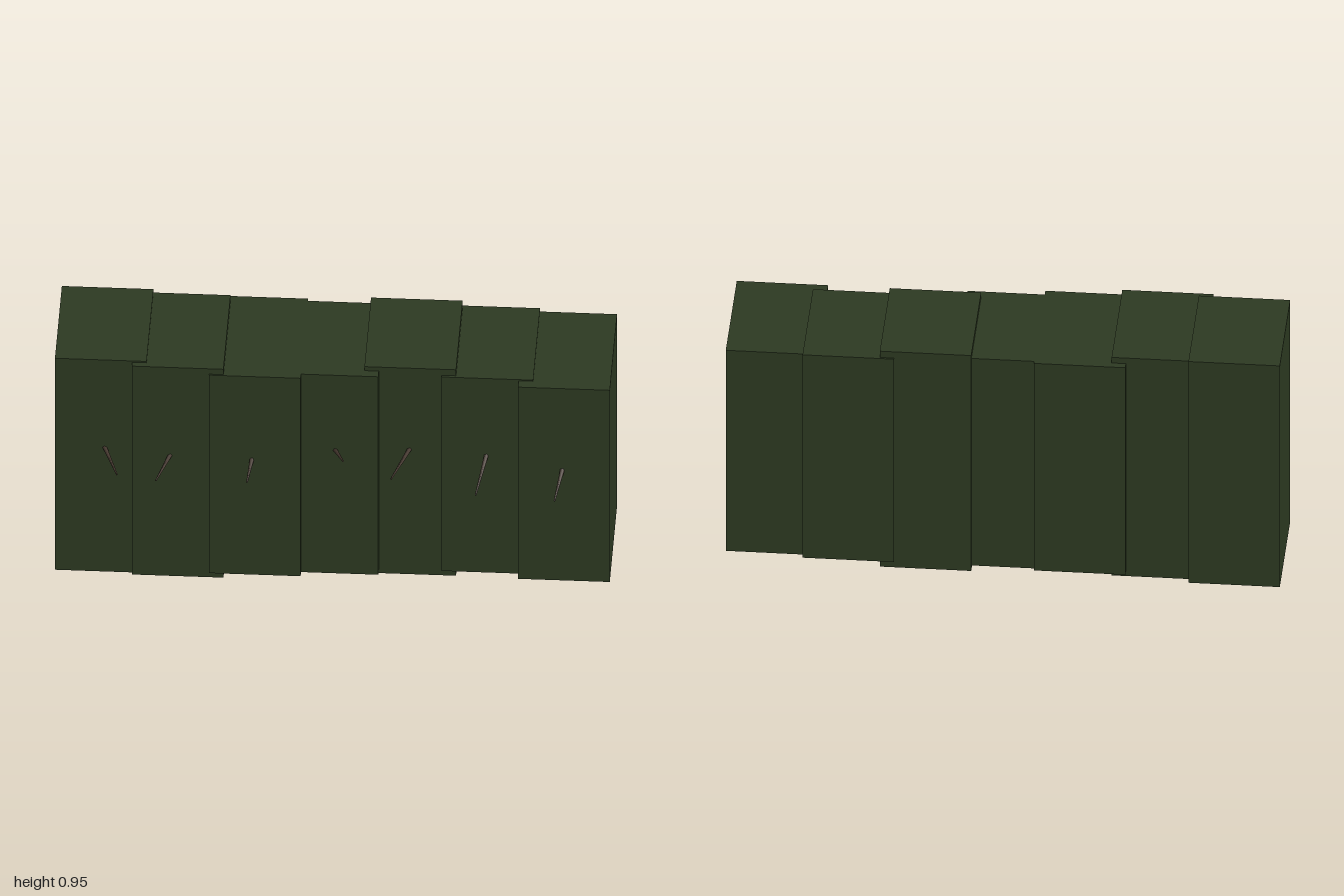
import * as THREE from 'three';

const leafGreen = new THREE.MeshStandardMaterial({ name: 'leafGreen', color: 0x2d3a22 });
const twigBrown = new THREE.MeshStandardMaterial({ name: 'twigBrown', color: 0x46382f });

// Overlapping clipped blocks: [yMin, yMax, zBack, zFront]
const blocks = [
  [0, 0.953, -0.266, 0.166],
  [0.008, 0.947, -0.254, 0.189],
  [0.031, 0.923, -0.281, 0.195],
  [0.031, 0.923, -0.268, 0.17],
  [0.013, 0.941, -0.277, 0.136],
  [0.04, 0.914, -0.284, 0.146],
  [0.045, 0.909, -0.271, 0.184],
];
const blockWidth = 0.33;
const spacing = (2 - blockWidth) / 6;

// Twigs: [x, y] where each leaves the hedge, then [x, y] of its tip
const twigs = [
  [-0.82, 0.557, -0.77, 0.526],
  [-0.585, 0.548, -0.63, 0.506],
  [-0.29, 0.548, -0.302, 0.512],
  [0.01, 0.585, 0.045, 0.622],
  [0.275, 0.574, 0.218, 0.55],
  [0.552, 0.565, 0.522, 0.49],
  [0.828, 0.54, 0.806, 0.476],
];
const tipZ = 0.283;

// Tapered stick running from a to b
function taperedStick(a, b, rA, rB) {
  const dir = b.clone().sub(a);
  const mesh = new THREE.Mesh(new THREE.CylinderGeometry(rB, rA, dir.length(), 5), twigBrown);
  mesh.position.copy(a).add(b).multiplyScalar(0.5);
  mesh.quaternion.setFromUnitVectors(new THREE.Vector3(0, 1, 0), dir.normalize());
  return mesh;
}

export function createModel() {
  const hedge = new THREE.Group();
  hedge.name = 'hedge';

  blocks.forEach(([y0, y1, z0, z1], i) => {
    const block = new THREE.Mesh(new THREE.BoxGeometry(blockWidth, y1 - y0, z1 - z0), leafGreen);
    block.name = `hedgeBlock${i + 1}`;
    block.position.set((i - 3) * spacing, (y0 + y1) / 2, (z0 + z1) / 2);
    hedge.add(block);
  });

  twigs.forEach(([x0, y0, x1, y1], i) => {
    const tip = new THREE.Vector3(x1, y1, tipZ);
    const exit = new THREE.Vector3(x0, y0, blocks[i][3]);
    const root = exit.clone().lerp(tip, -0.3); // buried in the foliage
    const twig = taperedStick(root, tip, 0.01, 0.003);
    twig.name = `twig${i + 1}`;
    hedge.add(twig);
  });

  return hedge;
}
